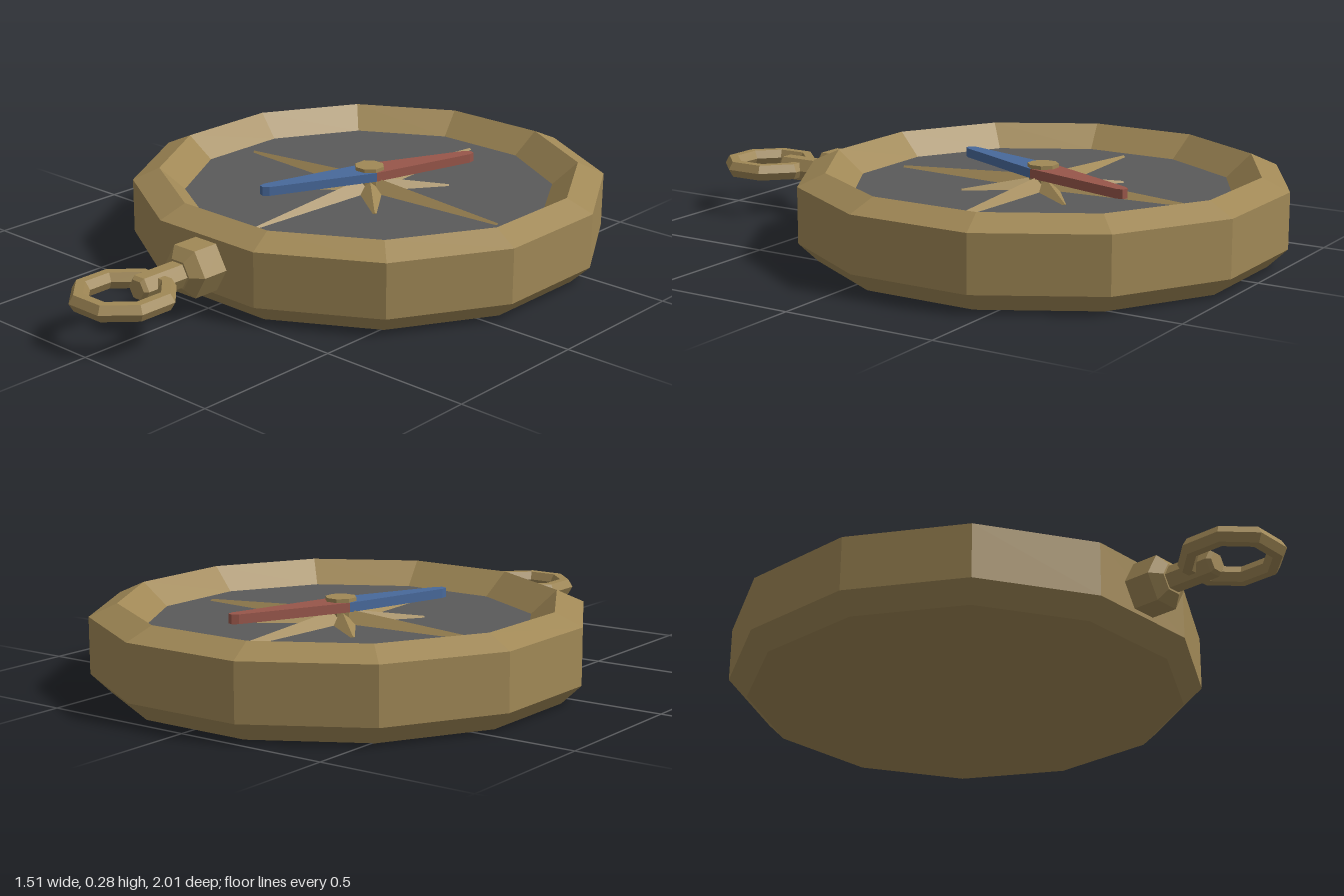
import * as THREE from 'three';

const CENTRE_Z = -0.25; // middle of the case
const FLOOR_Y = 0.205;  // height of the dial
const MID_Y = 0.15;     // height of the stem and ring

const material = (name, color) => {
  const m = new THREE.MeshStandardMaterial({ color });
  m.name = name;
  return m;
};

// Facet a geometry and wrap it in a named mesh
function part(name, geometry, mat) {
  const g = geometry.index ? geometry.toNonIndexed() : geometry;
  g.computeVertexNormals();
  const mesh = new THREE.Mesh(g, mat);
  mesh.name = name;
  return mesh;
}

// Twelve-sided lathe; radii are measured to the flats
function dodecagon(profile) {
  const k = 1 / Math.cos(Math.PI / 12);
  const points = profile.map(([r, y]) => new THREE.Vector2(r * k, y));
  return new THREE.LatheGeometry(points, 12, Math.PI / 12, Math.PI * 2);
}

// Ridged, tapering star point aimed at -z
function starPoint(length, halfWidth, height, tip) {
  const g = new THREE.CylinderGeometry(tip, halfWidth, length, 4);
  g.rotateX(-Math.PI / 2);
  g.scale(1, height / halfWidth, 1);
  g.translate(0, 0, -length / 2);
  return g;
}

// Half of the needle aimed at -z
function needleHalf() {
  const shape = new THREE.Shape([
    [-0.052, 0], [0.052, 0], [0.02, 0.375], [0.01, 0.395], [-0.01, 0.395], [-0.02, 0.375],
  ].map(([x, y]) => new THREE.Vector2(x, y)));
  const g = new THREE.ExtrudeGeometry(shape, { depth: 0.03, bevelEnabled: false });
  return g.rotateX(-Math.PI / 2);
}

// Six-sided turned piece running along +z, from [radius, z] pairs
function hexRod(profile) {
  const points = profile.map(([r, z]) => new THREE.Vector2(r, z));
  const g = new THREE.LatheGeometry(points, 6, Math.PI / 2, Math.PI * 2);
  g.rotateX(Math.PI / 2);
  g.translate(0, MID_Y, 0);
  return g;
}

export function createModel() {
  const brass = material('brass', 0xa08856);
  const grey = material('dialGrey', 0x5a5a5a);
  const red = material('needleRed', 0x98564a);
  const blue = material('needleBlue', 0x48699b);

  const model = new THREE.Group();
  model.name = 'compass';

  // Case with chamfered edges and a sloping inner lip
  const body = new THREE.Group();
  body.name = 'body';
  body.position.z = CENTRE_Z;
  model.add(body);
  body.add(part('case', dodecagon([
    [0, 0], [0.695, 0], [0.755, 0.06], [0.755, 0.24], [0.67, 0.28], [0.59, FLOOR_Y],
  ]), brass));
  body.add(part('dial', dodecagon([[0.59, FLOOR_Y], [0, FLOOR_Y]]), grey));

  // Eight-pointed star: long points on the axes, short ones between
  const star = new THREE.Group();
  star.name = 'star';
  star.position.y = FLOOR_Y;
  for (let i = 0; i < 8; i++) {
    const g = i % 2 ? starPoint(0.265, 0.048, 0.036, 0.006) : starPoint(0.535, 0.042, 0.04, 0.006);
    const point = part(i % 2 ? 'shortPoint' : 'longPoint', g, brass);
    point.rotation.y = i * Math.PI / 4;
    star.add(point);
  }
  body.add(star);

  // Two-coloured needle
  const needle = new THREE.Group();
  needle.name = 'needle';
  needle.position.y = 0.238;
  needle.rotation.y = -0.36;
  const south = part('southHalf', needleHalf(), blue);
  south.rotation.y = Math.PI;
  needle.add(part('northHalf', needleHalf(), red), south);
  body.add(needle);

  // Pivot cap
  const hub = part('hub', new THREE.CylinderGeometry(0.05, 0.05, 0.075, 8), brass);
  hub.rotation.y = Math.PI / 8;
  hub.position.y = 0.2425;
  body.add(hub);

  // Crown and the neck that holds the ring
  model.add(part('crown', hexRod([[0, 0.48], [0.088, 0.48], [0.088, 0.595], [0.05, 0.625], [0, 0.625]]), brass));
  model.add(part('neck', hexRod([[0, 0.6], [0.043, 0.6], [0.043, 0.78], [0.032, 0.792], [0, 0.792]]), brass));

  // Octagonal hanging ring
  const ring = new THREE.TorusGeometry(0.138, 0.03, 6, 8);
  ring.rotateZ(Math.PI / 8);
  ring.rotateX(Math.PI / 2);
  ring.translate(0, MID_Y, 0.845);
  model.add(part('ring', ring, brass));

  return model;
}
